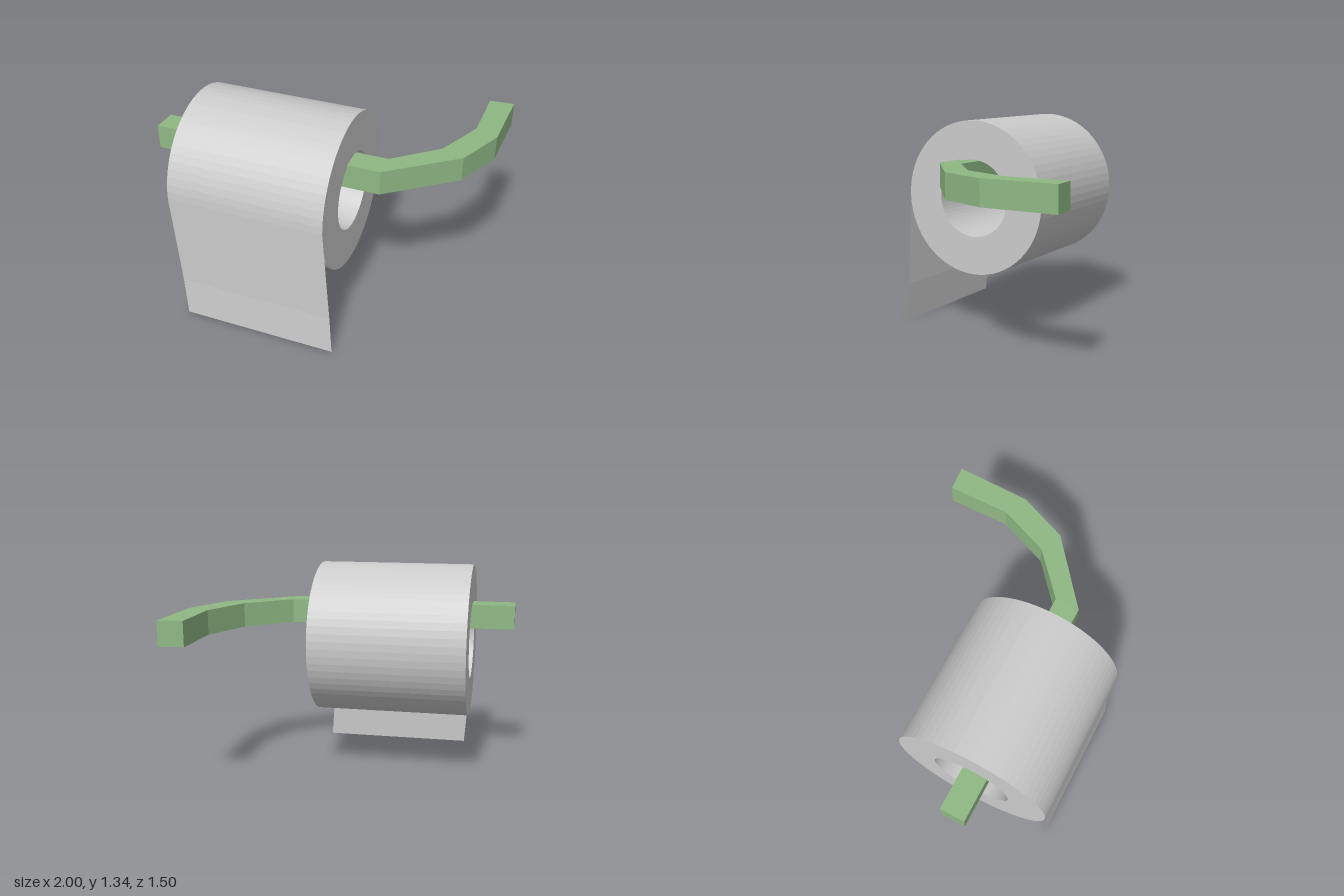
import * as THREE from 'three';

const ROLL = { y: 0.853, z: 0.246, outer: 0.49, inner: 0.246, left: -0.73, width: 0.985 };

function material(color, side = THREE.FrontSide) {
  return new THREE.MeshStandardMaterial({ color, side, flatShading: true });
}

// Hollow paper cylinder lying along x
function createRoll() {
  const ring = new THREE.Shape().absarc(0, 0, ROLL.outer, 0, Math.PI * 2, false);
  ring.holes.push(new THREE.Path().absarc(0, 0, ROLL.inner, 0, Math.PI * 2, true));
  const geometry = new THREE.ExtrudeGeometry(ring, { depth: ROLL.width, bevelEnabled: false, curveSegments: 32 });
  geometry.rotateY(Math.PI / 2);
  const roll = new THREE.Mesh(geometry, material(0xcccccc));
  roll.name = 'paperRoll';
  roll.position.set(ROLL.left, ROLL.y, ROLL.z);
  return roll;
}

// Thin loose sheet, drifting sideways and kicking forward at its end
function createSheet() {
  const rows = [[0, ROLL.y, 0.736], [0.043, 0.25, 0.736], [0.063, 0, 0.75]]; // x shift, y, z
  const geometry = new THREE.PlaneGeometry(ROLL.width, 1, 1, rows.length - 1);
  const position = geometry.attributes.position;
  for (let i = 0; i < position.count; i++) {
    const [shift, y, z] = rows[Math.floor(i / 2)];
    position.setXYZ(i, ROLL.left + (i % 2) * ROLL.width + shift, y, z);
  }
  geometry.computeVertexNormals();
  const sheet = new THREE.Mesh(geometry, material(0xcccccc, THREE.DoubleSide));
  sheet.name = 'looseSheet';
  return sheet;
}

// Square bar bent back toward the wall, as a plan outline (x, z) raised in y
function createHolder() {
  const outline = [
    [-1, 0.355], [0.455, 0.355], [0.86, 0.03], [0.99, -0.28], [1, -0.75],
    [0.845, -0.738], [0.848, -0.345], [0.718, -0.03], [0.455, 0.2], [-1, 0.2],
  ];
  const shape = new THREE.Shape(outline.map(([x, z]) => new THREE.Vector2(x, -z)));
  const geometry = new THREE.ExtrudeGeometry(shape, { depth: 0.153, bevelEnabled: false });
  geometry.rotateX(-Math.PI / 2);
  const holder = new THREE.Mesh(geometry, material(0x8fb884));
  holder.name = 'holderBar';
  holder.position.y = 0.94;
  return holder;
}

export function createModel() {
  const group = new THREE.Group();
  group.name = 'paperRollHolder';
  group.add(createRoll(), createSheet(), createHolder());
  return group;
}
